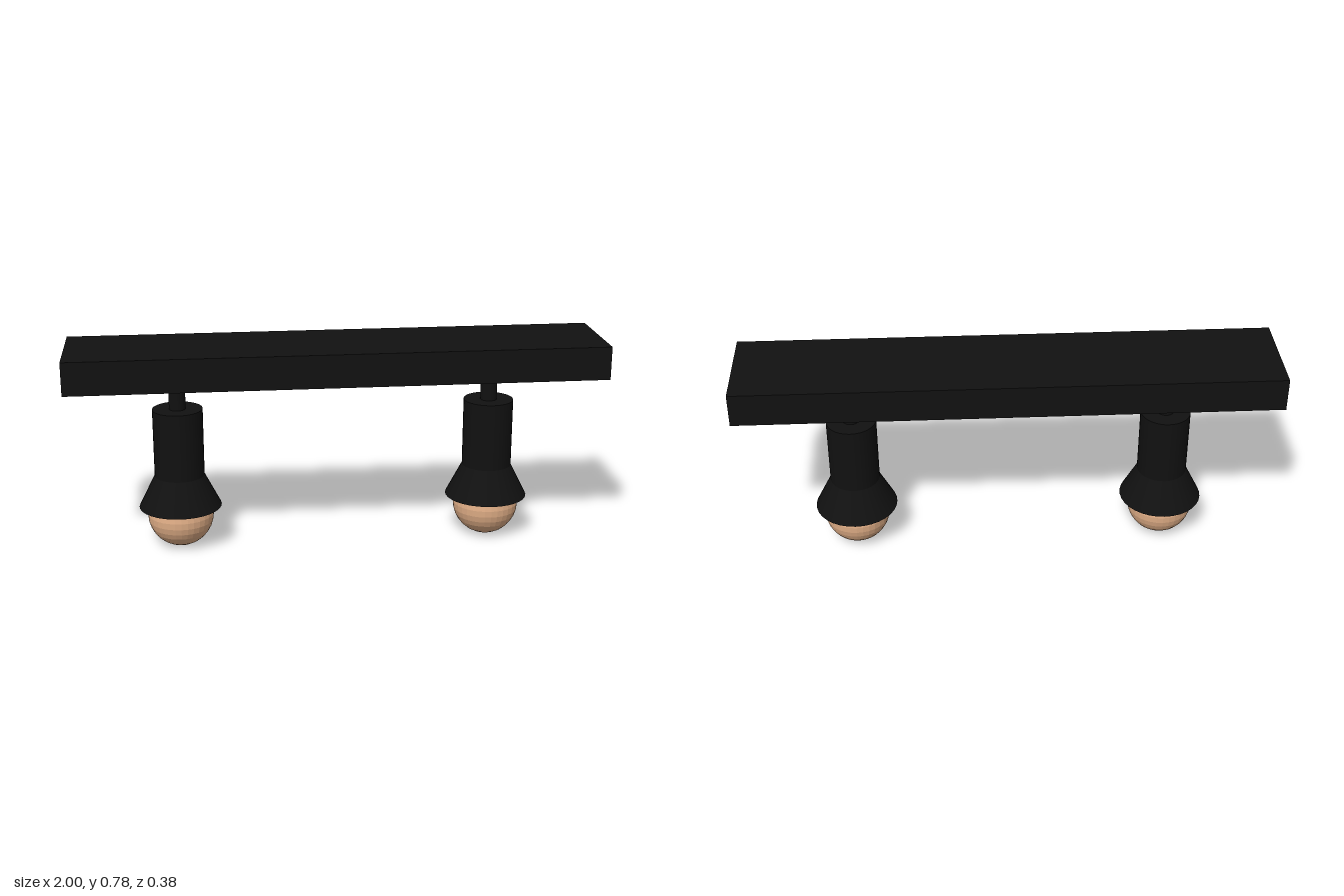
import * as THREE from 'three';

const black = new THREE.MeshStandardMaterial({ color: 0x111111 });
const glow = new THREE.MeshStandardMaterial({ color: 0xe3b088, flatShading: true });

function part(name, geometry, material, y) {
  const mesh = new THREE.Mesh(geometry, material);
  mesh.name = name;
  mesh.position.y = y;
  return mesh;
}

// Round part standing between two heights
function turned(name, rTop, rBottom, y0, y1) {
  return part(name, new THREE.CylinderGeometry(rTop, rBottom, y1 - y0, 32), black, (y0 + y1) / 2);
}

function createLamp(name, x) {
  const lamp = new THREE.Group();
  lamp.name = name;
  lamp.position.x = x;
  lamp.add(
    turned('stem', 0.031, 0.031, 0.54, 0.655),
    turned('socket', 0.094, 0.094, 0.28, 0.54),
    turned('shade', 0.094, 0.156, 0.157, 0.28),
    part('bulb', new THREE.SphereGeometry(0.125, 32, 16), glow, 0.125)
  );
  return lamp;
}

export function createModel() {
  const model = new THREE.Group();
  model.name = 'ceilingLight';

  // Long mounting bar
  model.add(part('mountingBar', new THREE.BoxGeometry(2, 0.125, 0.375), black, 0.7175));

  // Two hanging spot lamps
  model.add(createLamp('rightLamp', -0.595), createLamp('leftLamp', 0.585));
  return model;
}
